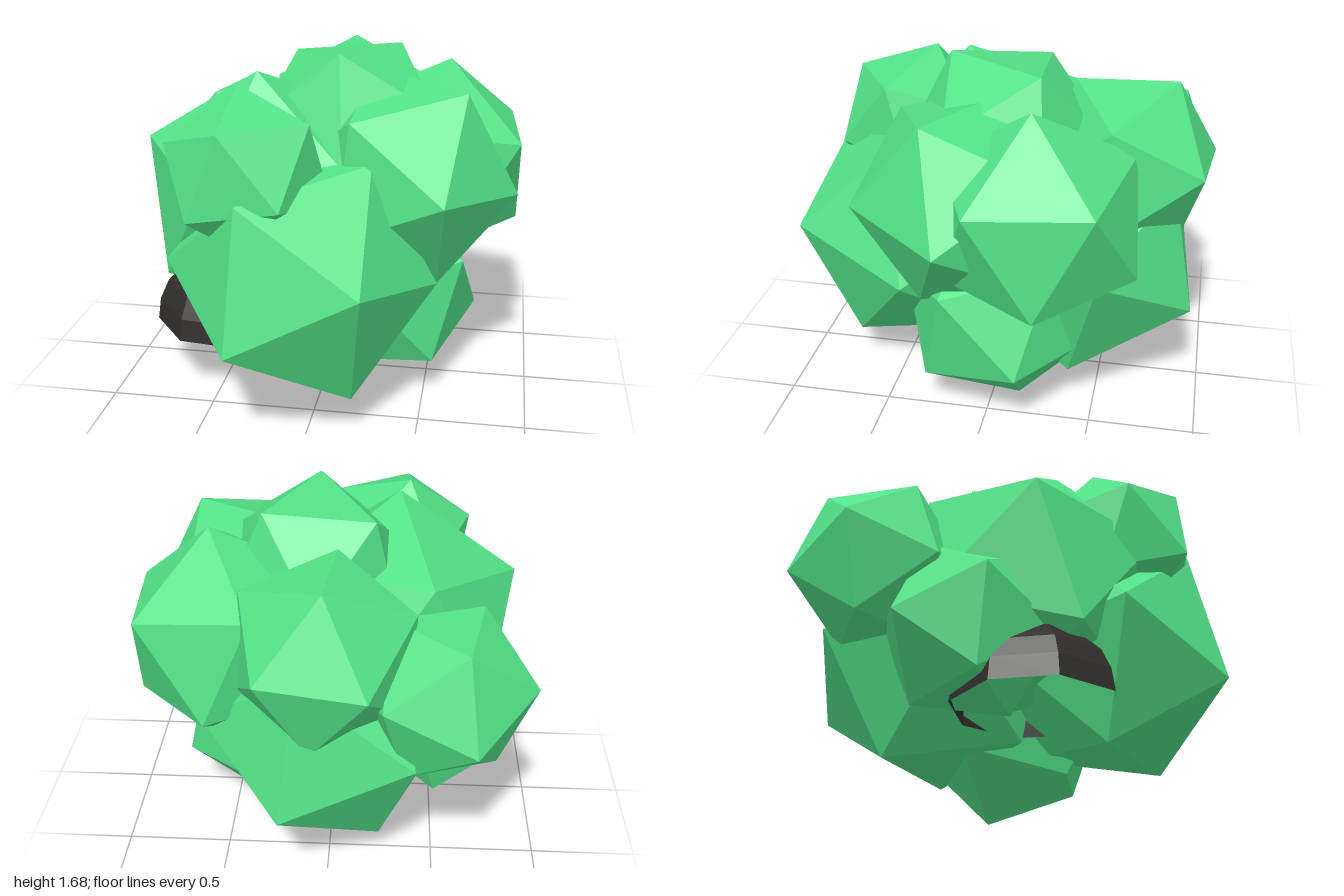
import * as THREE from 'three';

const V = (p) => new THREE.Vector3(...p);

// Orthonormal frame whose x axis is a and whose xy plane contains b
function frame(a, b) {
  const x = a.clone().normalize();
  const z = a.clone().cross(b).normalize();
  const y = z.clone().cross(x);
  return new THREE.Matrix4().makeBasis(x, y, z);
}

// Faceted clump: centre, radius, and the places of two neighbouring corners
function leafClump(name, centre, radius, cornerA, cornerB, material) {
  const t = (1 + Math.sqrt(5)) / 2;
  const local = frame(V([-1, t, 0]), V([1, t, 0]));
  const c = V(centre);
  const world = frame(V(cornerA).sub(c), V(cornerB).sub(c));
  const mesh = new THREE.Mesh(new THREE.IcosahedronGeometry(radius, 0), material);
  mesh.quaternion.setFromRotationMatrix(world.multiply(local.transpose()));
  mesh.position.copy(c);
  mesh.name = name;
  return mesh;
}

export function createModel() {
  const group = new THREE.Group();
  group.name = 'bush';

  const leafGreen = new THREE.MeshStandardMaterial({ color: 0x52e187, flatShading: true });
  leafGreen.name = 'leaf green';
  const darkBark = new THREE.MeshStandardMaterial({ color: 0x302e2b, flatShading: true, side: THREE.DoubleSide });
  darkBark.name = 'dark bark';

  // Foliage clumps
  const clumps = [
    ['frontClump', [-0.062, 0.705, 0.462], 0.628, [0.277, 0.802, 0.975], [-0.3, 0.502, 1.0]],
    ['leftFrontClump', [0.381, 1.089, 0.115], 0.534, [0.664, 1.52, 0.25], [0.59, 1.088, 0.603]],
    ['leftBackClump', [0.482, 1.064, -0.231], 0.525, [0.864, 1.253, -0.53], [0.91, 0.778, -0.287]],
    ['leftLowClump', [0.281, 0.475, -0.021], 0.492, [0.328, 0.003, -0.13], [0.72, 0.32, -0.174]],
    ['topClump', [0.1, 1.262, -0.016], 0.49, [0.076, 1.68, 0.24], [0.316, 1.652, -0.217]],
    ['rightClump', [-0.286, 0.965, 0.087], 0.642, [-0.868, 1.23, 0.143], [-0.306, 1.59, 0.24]],
    ['frontTopClump', [-0.292, 1.186, 0.517], 0.4, [-0.352, 1.442, 0.82], [0, 1.44, 0.597]],
    ['backTopClump', [0.02, 1.172, -0.59], 0.457, [0.01, 1.572, -0.808], [-0.386, 1.41, -0.627]],
    ['backRightClump', [-0.517, 0.99, -0.597], 0.418, [-0.6, 1.32, -0.84], [-0.917, 1.07, -0.68]],
    ['backLowClump', [0.01, 0.7, -0.386], 0.626, [-0.24, 0.162, -0.585], [0.204, 0.483, -0.94]],
    ['rightLowClump', [-0.52, 0.66, -0.175], 0.432, [-0.92, 0.8, -0.065], [-0.82, 0.367, -0.109]],
  ];
  for (const [name, centre, radius, a, b] of clumps) {
    group.add(leafClump(name, centre, radius, a, b, leafGreen));
  }

  // Dark hollow dome, open below, tucked under the foliage
  const radius = 0.388;
  const profile = [0, 0.18, 0.36, 0.65, 1].map((f) => {
    const angle = (f * Math.PI) / 2;
    return new THREE.Vector2(radius * Math.cos(angle), radius * Math.sin(angle));
  });
  const dome = new THREE.Mesh(new THREE.LatheGeometry(profile, 8), darkBark);
  dome.position.set(-0.475, 0.294, 0.125);
  dome.rotation.y = THREE.MathUtils.degToRad(15.5);
  dome.name = 'darkDome';
  group.add(dome);

  return group;
}
